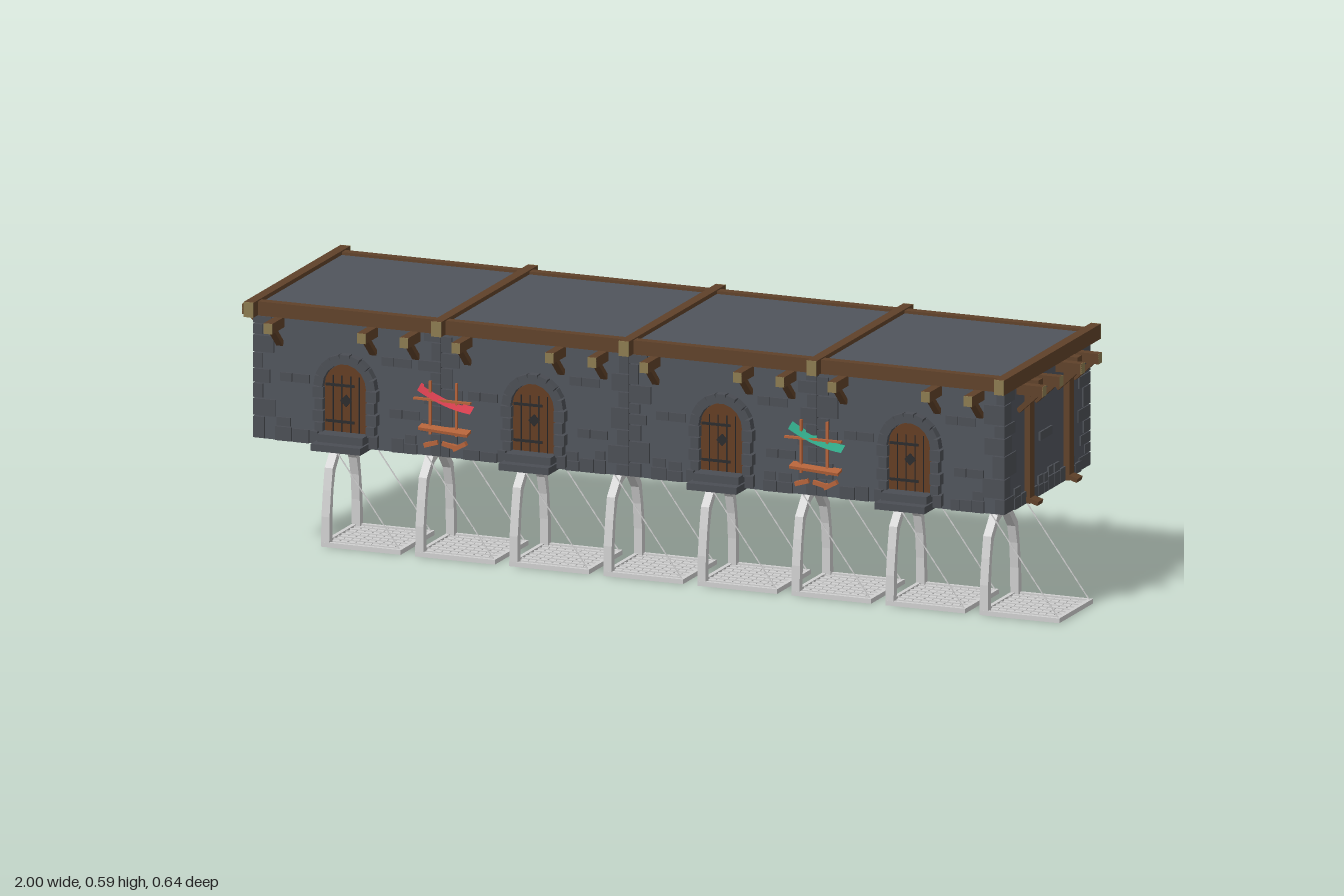
import * as THREE from 'three';

const mat = (name, color, side = THREE.FrontSide) => {
  const m = new THREE.MeshStandardMaterial({ color, side });
  m.name = name;
  return m;
};
const M = {
  wall: mat('slate wall', 0x50545c, THREE.DoubleSide),
  stone: mat('stone blocks', 0x4b4e54),
  timber: mat('timber', 0x5f4129),
  endGrain: mat('timber end grain', 0x8b7b50),
  door: mat('door wood', 0x633c22),
  iron: mat('dark iron', 0x2a2a2c),
  bridge: mat('pale bridge', 0xcfcfcf),
  plank: mat('orange wood', 0xb5633a),
  red: mat('red cloth', 0xd23c4c, THREE.DoubleSide),
  green: mat('green cloth', 0x2fa585, THREE.DoubleSide),
};

let seed = 7;
const rnd = (a, b) => {
  seed = (seed * 16807) % 2147483647;
  return a + (b - a) * (seed / 2147483647);
};

function add(parent, name, geo, material, x = 0, y = 0, z = 0) {
  const m = new THREE.Mesh(geo, material);
  m.name = name;
  m.position.set(x, y, z);
  parent.add(m);
  return m;
}
const box = (p, name, material, sx, sy, sz, x, y, z) =>
  add(p, name, new THREE.BoxGeometry(sx, sy, sz), material, x, y, z);
function group(parent, name, x = 0, y = 0, z = 0, ry = 0) {
  const g = new THREE.Group();
  g.name = name;
  g.position.set(x, y, z);
  g.rotation.y = ry;
  parent.add(g);
  return g;
}

const Y0 = 0.27, ROOF = 0.585, HZ = 0.247, STEP = 0.4625, HX = 0.2275;

// Joist with pale end and a diagonal brace, sticking out of a wall at z = d
function joist(p, x, d, out) {
  box(p, 'joist', M.timber, 0.021, 0.024, out + 0.02, x, 0.547, d + (out - 0.02) / 2);
  box(p, 'joistEnd', M.endGrain, 0.021, 0.024, 0.003, x, 0.547, d + out - 0.001);
  const brace = box(p, 'brace', M.timber, 0.016, 0.012, 0.062, x, 0.517, d + 0.022);
  brace.rotation.x = -0.75;
}

// Uneven bricks along the foot of a wall, plus a few loose ones higher up
function wallBricks(p, halfWidth, d, loose, skip = 0) {
  for (let x = -halfWidth + 0.05; x < halfWidth - 0.06;) {
    const w = rnd(0.022, 0.045), h = rnd(0.022, 0.034);
    if (Math.abs(x + w / 2) > skip) {
      box(p, 'footStone', M.stone, w - 0.003, h, 0.008, x + w / 2, Y0 + h / 2, d + 0.001);
      if (rnd(0, 1) > 0.45)
        box(p, 'footStone', M.stone, w * 0.8, 0.02, 0.007, x + w / 2, Y0 + h + 0.012, d + 0.001);
    }
    x += w;
  }
  for (const [x, y] of loose) {
    box(p, 'brick', M.stone, 0.029, 0.02, 0.007, x, y, d + 0.001);
    box(p, 'brick', M.stone, 0.041, 0.02, 0.007, x + 0.037, y, d + 0.001);
  }
}

// Staggered corner stones wrapping the four corners of a module
function quoins(p) {
  for (const sx of [-1, 1]) for (const sz of [-1, 1]) {
    let y = Y0, i = 0;
    while (y < 0.55) {
      const h = Math.min(rnd(0.024, 0.055), 0.558 - y);
      const wx = i % 2 ? rnd(0.038, 0.055) : rnd(0.02, 0.03);
      const wz = i % 2 ? rnd(0.03, 0.045) : rnd(0.055, 0.075);
      box(p, 'cornerStone', M.stone, wx, h - 0.003, wz,
        sx * (HX + 0.003 - wx / 2), y + h / 2, sz * (HZ + 0.005 - wz / 2));
      y += h;
      i++;
    }
  }
}

// Round-topped outline standing on y = 0
function archShape(w, h) {
  const s = new THREE.Shape(), r = w / 2;
  s.moveTo(-r, 0);
  s.lineTo(r, 0);
  s.lineTo(r, h - r);
  s.absarc(0, h - r, r, 0, Math.PI, false);
  s.lineTo(-r, 0);
  return s;
}
const extrude = (s, depth) =>
  new THREE.ExtrudeGeometry(s, { depth, bevelEnabled: false, curveSegments: 10 });

function doorway(p) {
  const g = group(p, 'doorway', 0, 0.3, HZ);
  add(g, 'door', extrude(archShape(0.108, 0.165), 0.006), M.door, 0, 0, 0.001);
  for (const x of [-0.032, -0.011, 0.011, 0.032])
    box(g, 'doorSeam', M.iron, 0.002, 0.135, 0.002, x, 0.07, 0.0075);
  for (const y of [0.03, 0.115]) box(g, 'hinge', M.iron, 0.07, 0.006, 0.004, -0.015, y, 0.008);
  const plate = box(g, 'doorPlate', M.iron, 0.02, 0.02, 0.004, 0, 0.08, 0.0085);
  plate.rotation.z = Math.PI / 4;
  // stone surround, running through the wall: jambs and arch stones
  for (const s of [-1, 1]) for (let i = 0; i < 4; i++)
    box(g, 'jambStone', M.stone, 0.02 + (i % 2) * 0.006, 0.025, 0.04, s * (0.063 + (i % 2) * 0.002), 0.0135 + i * 0.0277, 0);
  for (let i = 0; i < 9; i++) {
    const a = (i + 0.5) * Math.PI / 9;
    const v = box(g, 'archStone', M.stone, 0.022, 0.023, 0.04, Math.cos(a) * 0.064, 0.111 + Math.sin(a) * 0.067, 0);
    v.rotation.z = a;
  }
  // steps
  box(g, 'lowerStep', M.stone, 0.122, 0.016, 0.07, 0, -0.02, 0.036);
  box(g, 'upperStep', M.stone, 0.112, 0.018, 0.046, 0, -0.003, 0.024);
  for (const s of [-1, 1])
    box(g, 'stepStone', M.stone, 0.02, 0.028, 0.03, s * 0.07, -0.008, 0.012).rotation.y = s * 0.2;
}

// One building section: open-bottomed shell, stonework, posts, roof beams
function section(p, k) {
  const g = group(p, 'section', -0.94 + STEP * (k + 0.5));
  const shell = new THREE.BoxGeometry(HX * 2, ROOF - Y0, HZ * 2);
  const idx = Array.from(shell.index.array);
  idx.splice(18, 6);
  shell.setIndex(idx);
  shell.clearGroups();
  add(g, 'walls', shell, M.wall, 0, (ROOF + Y0) / 2, 0);
  quoins(g);
  doorway(g);
  for (const turn of [0, Math.PI]) {
    const side = group(g, 'longSide', 0, 0, 0, turn);
    for (const x of [-0.166, 0.064, 0.169]) joist(side, x, HZ, 0.073);
    box(side, 'roofBeam', M.timber, STEP, 0.033, 0.022, 0, 0.575, 0.245);
    const loose = turn ? [[-0.11, 0.44], [0.08, 0.36], [0.13, 0.49], [-0.02, 0.4]]
      : [[-0.15, 0.42], [0.12, 0.36], [0.1, 0.48]];
    wallBricks(side, HX, HZ, loose, turn ? 0 : 0.09);
  }
  for (const s of [-1, 1]) {
    const end = group(g, 'endSide', 0, 0, 0, s * Math.PI / 2);
    for (const x of [-0.115, 0.115]) box(end, 'post', M.timber, 0.027, 0.29, 0.018, x, 0.415, HX + 0.005);
    wallBricks(end, HZ, HX, [[-0.031, 0.407]]);
  }
}

// Roof beam across the building with pale ends
function crossBeam(p, x) {
  box(p, 'crossBeam', M.timber, 0.024, 0.035, 0.566, x, 0.577, 0);
  for (const s of [-1, 1]) box(p, 'crossBeamEnd', M.endGrain, 0.024, 0.035, 0.003, x, 0.577, s * 0.2835);
}

// Joists and post feet on the two outer ends
function outerEnd(p, s) {
  const g = group(p, 'outerEnd', s > 0 ? 0.908 : -0.937, 0, 0, s * Math.PI / 2);
  for (const x of [-0.163, -0.064, 0.064, 0.163]) joist(g, x, 0, 0.062);
  for (const x of [-0.115, 0.115]) {
    box(g, 'postFoot', M.timber, 0.03, 0.01, 0.035, x, 0.277, 0.015).rotation.x = 0.3;
    box(g, 'postHead', M.timber, 0.026, 0.02, 0.035, x, 0.55, 0.015);
  }
}

// Ribbon of cloth lying through the joint between sections, over orange boards
function hanging(p, x, material) {
  const g = group(p, 'hanging', x, 0, 0.235);
  const cloth = new THREE.PlaneGeometry(0.13, 0.076, 10, 1).rotateX(-Math.PI / 2);
  const a = cloth.attributes.position;
  for (let i = 0; i < a.count; i++) {
    const t = a.getX(i) / 0.065;
    a.setY(i, 0.422 - t * 0.022 - 0.008 * (1 - t * t) - a.getZ(i) * 0.45);
  }
  cloth.computeVertexNormals();
  add(g, 'cloth', cloth, material, 0.008, 0, 0);
  box(g, 'clothRail', M.plank, 0.14, 0.005, 0.008, 0, 0.405, 0.026);
  const shelf = box(g, 'shelf', M.plank, 0.12, 0.007, 0.04, 0.005, 0.338, 0.018);
  shelf.rotation.set(0.2, 0, -0.06);
  for (const s of [-1, 1]) box(g, 'railSupport', M.plank, 0.005, 0.125, 0.006, s * 0.032, 0.385, 0.02);
  for (const [bx, r] of [[-0.03, 0.3], [0.015, -0.2], [0.04, 0.5]])
    box(g, 'board', M.plank, 0.035, 0.01, 0.012, bx, 0.3, 0.018).rotation.z = r;
}

// Lowered bridge: gate arch, slatted deck and two chains
function drawbridge(p, x) {
  const g = group(p, 'drawbridge', x, 0, 0.0385);
  const outer = [[0.099, 0], [0.097, 0.07], [0.088, 0.13], [0.078, 0.18], [0.04, 0.222], [0, 0.235]];
  const inner = [[0, 0.218], [0.032, 0.207], [0.062, 0.172], [0.074, 0.13], [0.08, 0.07], [0.081, 0]];
  const flip = (a) => a.map(([u, v]) => [-u, v]).reverse();
  const pts = [...outer, ...flip(outer).slice(1), ...flip(inner), ...inner.slice(1)];
  const arch = extrude(new THREE.Shape(pts.map(([u, v]) => new THREE.Vector2(u, v))), 0.02);
  arch.rotateY(Math.PI / 2);
  add(g, 'gateArch', arch, M.bridge);
  for (const s of [-1, 1]) box(g, 'deckRail', M.bridge, 0.196, 0.011, 0.01, 0.098, 0.0055, s * 0.094);
  for (const dx of [0.005, 0.191]) box(g, 'deckEnd', M.bridge, 0.01, 0.011, 0.178, dx, 0.0055, 0);
  for (let i = 0; i < 9; i++) box(g, 'deckSlat', M.bridge, 0.017, 0.006, 0.18, 0.02 + i * 0.0195, 0.004, 0);
  for (let i = -3; i <= 3; i++) box(g, 'deckBar', M.bridge, 0.18, 0.003, 0.005, 0.098, 0.008, i * 0.024);
  const n = 26, angle = Math.atan2(-0.262, 0.19);
  for (const s of [-1, 1]) for (let i = 0; i < n; i++) {
    const t = (i + 0.5) / n, thin = i % 2;
    const link = box(g, 'chainLink', M.bridge, 0.0128, thin ? 0.003 : 0.0015, thin ? 0.0015 : 0.003,
      t * 0.19, 0.272 - t * 0.262, s * 0.091);
    link.rotation.z = angle;
  }
}

export function createModel() {
  const root = new THREE.Group();
  root.name = 'gatehouseRow';
  for (let k = 0; k < 4; k++) section(root, k);
  for (let k = 0; k < 5; k++) crossBeam(root, -0.937 + k * 0.4615);
  outerEnd(root, 1);
  outerEnd(root, -1);
  hanging(root, -0.47, M.red);
  hanging(root, 0.4425, M.green);
  for (let i = 0; i < 8; i++) drawbridge(root, -0.82 + i * 0.2314);
  return root;
}
